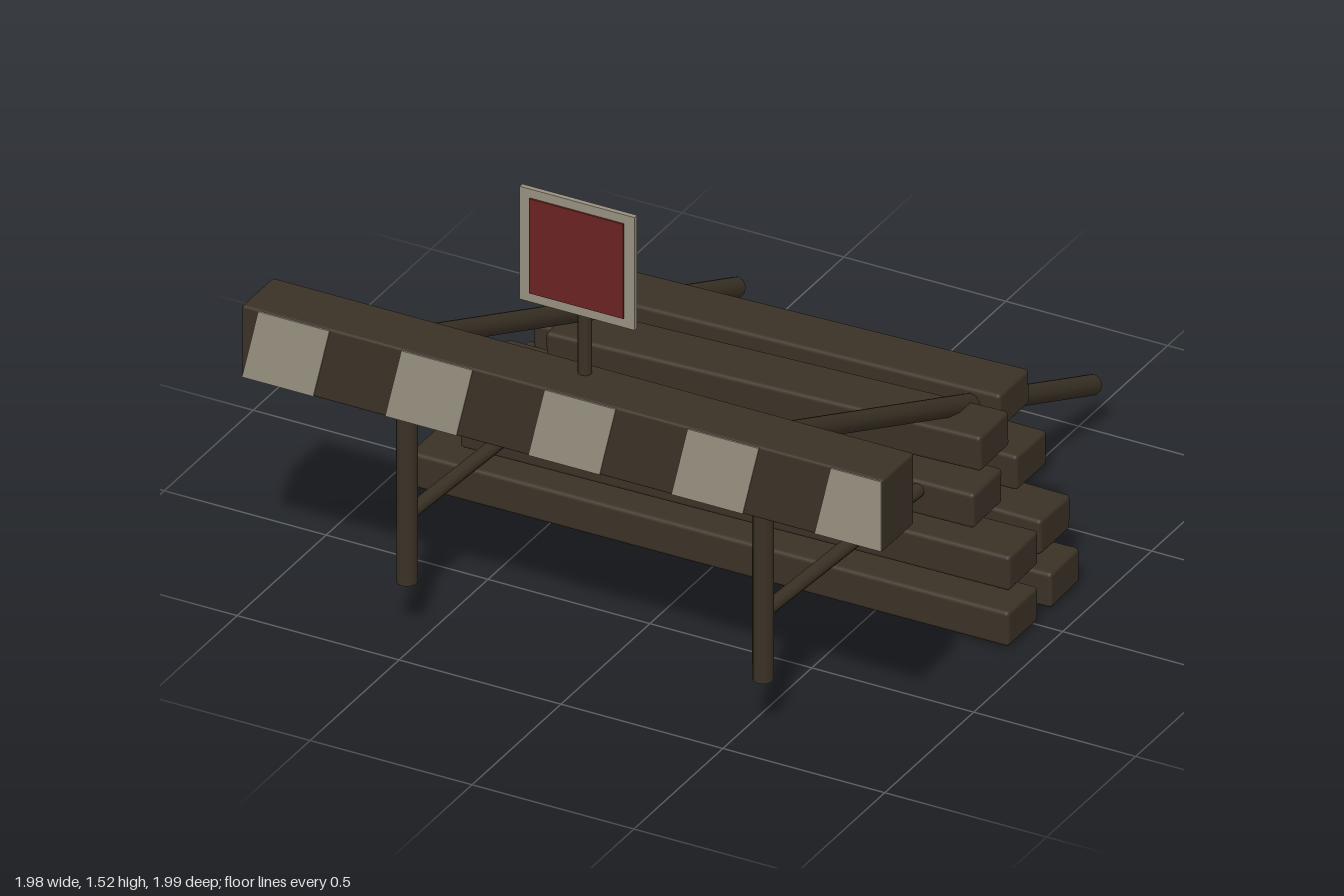
import * as THREE from 'three';
import { RoundedBoxGeometry } from 'three/addons/geometries/RoundedBoxGeometry.js';

export function createModel() {
  const model = new THREE.Group();
  model.name = 'roadBarrier';

  const material = (name, color) => {
    const m = new THREE.MeshStandardMaterial({ color });
    m.name = name;
    return m;
  };
  const wood = material('darkWood', 0x3b3226);
  const cream = material('creamPaint', 0x989180);
  const red = material('redPaint', 0x6b2323);

  const add = (name, geometry, mat, x = 0, y = 0, z = 0) => {
    const mesh = new THREE.Mesh(geometry, mat);
    mesh.name = name;
    mesh.position.set(x, y, z);
    model.add(mesh);
    return mesh;
  };

  // Round pole between two points
  const pole = (name, a, b, radius) => {
    const from = new THREE.Vector3(...a), to = new THREE.Vector3(...b);
    const dir = to.clone().sub(from);
    const mesh = add(name, new THREE.CylinderGeometry(radius, radius, dir.length(), 10), wood);
    mesh.position.copy(from).add(to).multiplyScalar(0.5);
    mesh.quaternion.setFromUnitVectors(new THREE.Vector3(0, 1, 0), dir.normalize());
  };

  // Main crossbeam
  add('crossbeam', new RoundedBoxGeometry(1.98, 0.225, 0.175, 2, 0.008), wood, 0, 0.867, 0.906);

  // Slanted painted stripes on the front of the crossbeam
  const bottom = 0.758, top = 0.976, right = 0.987, lean = 0.05;
  for (let i = 0; i < 5; i++) {
    const x = -0.987 + i * 0.442;
    const stripe = new THREE.Shape([
      new THREE.Vector2(x, bottom),
      new THREE.Vector2(Math.min(x + 0.22, right), bottom),
      new THREE.Vector2(Math.min(x + 0.22 + lean, right), top),
      new THREE.Vector2(x + lean, top),
    ]);
    add('stripe', new THREE.ExtrudeGeometry(stripe, { depth: 0.005, bevelEnabled: false }), cream, 0, 0, 0.992);
  }

  // Legs and braces, mirrored on both sides
  for (const x of [-0.55, 0.55]) {
    pole('frontPost', [x, 0.175, 0.865], [x, 0.8, 0.865], 0.03);
    pole('slantedLeg', [x, 0.897, 0.776], [x, 0.162, -0.985], 0.03);
    pole('lowerBrace', [x, 0.382, 0.865], [x, 0.31, -0.27], 0.021);
  }
  pole('crossbar', [-0.55, 0.565, 0.25], [0.55, 0.565, 0.25], 0.018);

  // Sign on its post
  pole('signPost', [0, 0.9, 0.865], [0, 1.462, 0.865], 0.02);
  add('signBoard', new THREE.BoxGeometry(0.355, 0.352, 0.015), cream, -0.001, 1.356, 0.9);
  add('signFace', new THREE.BoxGeometry(0.29, 0.295, 0.006), red, -0.001, 1.357, 0.91);

  // Stacked timbers: length, x, y, z, yaw, roll
  const timbers = [
    [1.85, -0.005, 0.07, 0.077, 0.002, 0.003],
    [1.84, 0, 0.07, -0.14, 0.025, 0.005],
    [1.68, 0.03, 0.187, -0.003, 0.02, -0.002],
    [1.68, 0.005, 0.187, -0.247, -0.005, -0.01],
    [1.51, -0.035, 0.305, -0.075, 0.022, -0.003],
    [1.5, -0.02, 0.308, -0.325, -0.008, 0.002],
    [1.33, 0.03, 0.42, -0.162, 0.02, 0.018],
    [1.335, -0.027, 0.43, -0.38, 0.01, 0.018],
  ];
  for (const [length, x, y, z, yaw, roll] of timbers) {
    const timber = add('timber', new RoundedBoxGeometry(length, 0.108, 0.17, 2, 0.012), wood, x, y, z);
    timber.rotation.set(0, yaw, roll);
  }

  return model;
}
